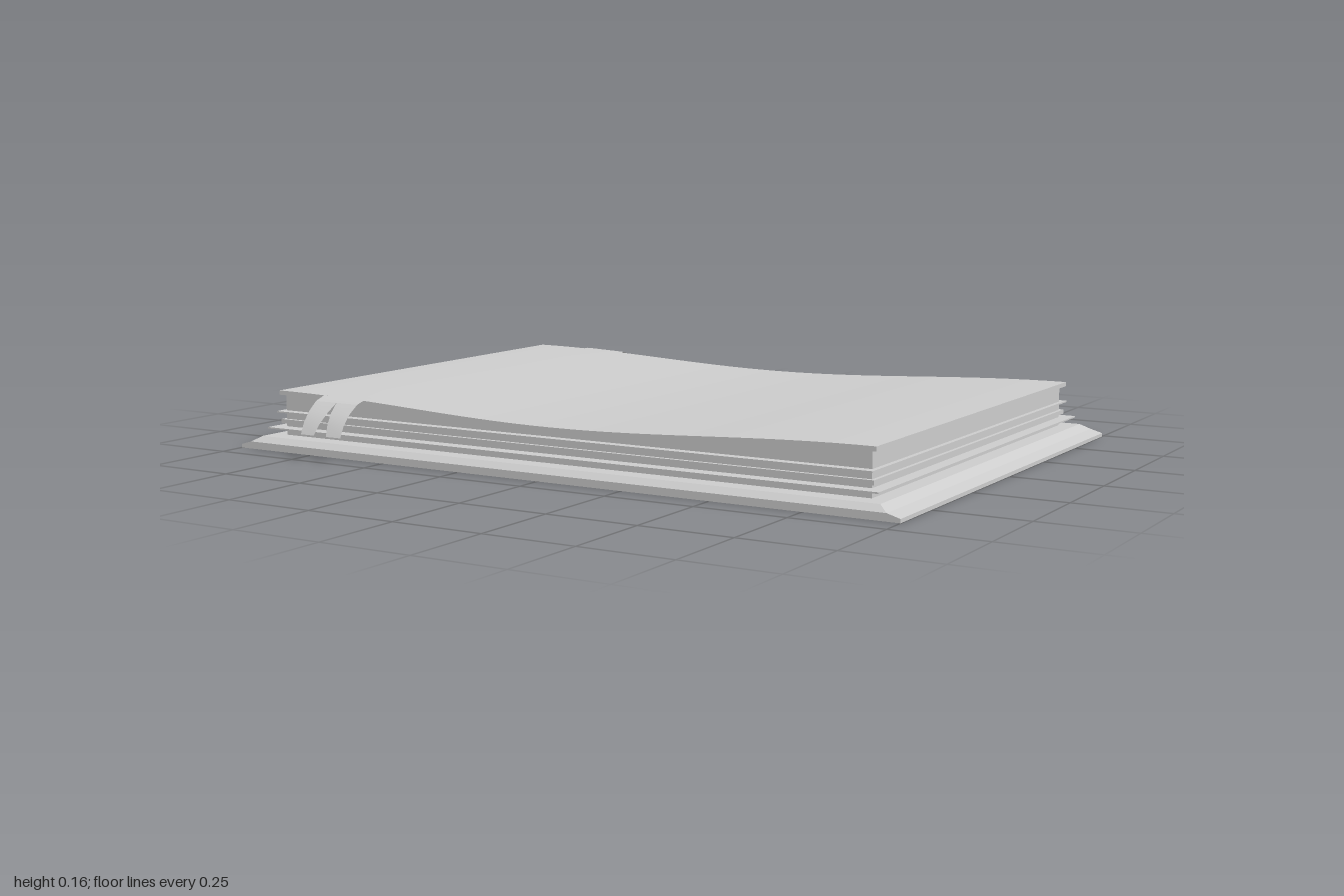
import * as THREE from 'three';

const paper = new THREE.MeshStandardMaterial({ color: 0xcccccc, side: THREE.DoubleSide });
paper.name = 'plain grey';

// Height of the gently sagging top page
const topY = (x) => 0.145 - 0.015 * Math.cos((Math.PI * Math.min(Math.abs(x), 0.9)) / 0.9);

// Quad strip through rows of points; closed rows wrap round
function loft(rows, closed = false) {
  const n = rows[0].length;
  const index = [];
  for (let r = 0; r < rows.length - 1; r++) {
    for (let i = 0; i < (closed ? n : n - 1); i++) {
      const a = r * n + i, b = r * n + ((i + 1) % n);
      index.push(a, b, b + n, a, b + n, a + n);
    }
  }
  const g = new THREE.BufferGeometry();
  g.setAttribute('position', new THREE.Float32BufferAttribute(rows.flat(2), 3));
  g.setIndex(index);
  return g;
}

export function createModel() {
  const group = new THREE.Group();
  const add = (name, geometry) => {
    const mesh = new THREE.Mesh(geometry, paper);
    mesh.name = name;
    group.add(mesh);
  };

  // Flat slab between two heights, given half width and z range
  const slab = (name, halfX, back, front, y0, y1) => {
    const g = new THREE.BoxGeometry(halfX * 2, y1 - y0, front - back);
    g.translate(0, (y0 + y1) / 2, (back + front) / 2);
    add(name, g);
  };

  // Slab whose top follows the sag; bottom(x) gives its underside
  const sagging = (name, halfX, back, front, bottom, top) => {
    const shape = new THREE.Shape();
    const n = 32;
    for (let i = 0; i <= n; i++) {
      const x = -halfX + (2 * halfX * i) / n;
      if (i) shape.lineTo(x, bottom(x));
      else shape.moveTo(x, bottom(x));
    }
    for (let i = n; i >= 0; i--) {
      const x = -halfX + (2 * halfX * i) / n;
      shape.lineTo(x, top(x));
    }
    const g = new THREE.ExtrudeGeometry(shape, { depth: front - back, bevelEnabled: false });
    g.translate(0, 0, back);
    add(name, g);
  };

  // Cover board with sloping rim: half width, back, front, height
  const rings = [
    [1, -0.735, 0.675, 0],
    [1, -0.735, 0.675, 0.01],
    [0.965, -0.735, 0.675, 0.02],
    [0.94, -0.712, 0.655, 0.035],
  ].map(([x, b, f, y]) => [[x, y, b], [-x, y, b], [-x, y, f], [x, y, f]]);
  const rim = loft(rings, true).toNonIndexed();
  rim.computeVertexNormals();
  add('coverRim', rim);
  slab('coverBottom', 1, -0.735, 0.675, 0, 0.008);
  slab('coverInside', 0.94, -0.712, 0.655, 0.025, 0.035);

  // Page block and projecting leaves
  sagging('pageBlock', 0.895, -0.658, 0.604, () => 0.03, (x) => topY(x) - 0.006);
  slab('lowerLeaf', 0.93, -0.7, 0.643, 0.055, 0.059);
  slab('middleLeaf', 0.905, -0.67, 0.615, 0.068, 0.08);
  slab('upperLeaf', 0.908, -0.686, 0.63, 0.1, 0.104);
  sagging('topPage', 0.91, -0.67, 0.615, (x) => topY(x) - 0.012, topY);

  // Ribbon bookmark: left x, right x, z, height (null rests on the page)
  const path = [
    [-0.73, -0.59, -0.69, 0.135],
    [-0.73, -0.59, -0.685, 0.152],
    [-0.73, -0.59, -0.67, null],
    [-0.727, -0.582, -0.46, null],
    [-0.715, -0.565, -0.3, null],
    [-0.71, -0.56, -0.15, null],
    [-0.73, -0.578, -0.04, null],
    [-0.755, -0.61, 0.2, null],
    [-0.765, -0.61, 0.45, null],
    [-0.755, -0.605, 0.57, null],
    [-0.747, -0.6, 0.62, 0.157],
    [-0.742, -0.598, 0.655, 0.148],
  ];
  const rows = path.map(([l, r, z, y]) =>
    [0, 0.25, 0.5, 0.75, 1].map((t) => {
      const x = l + (r - l) * t;
      return [x, y ?? topY(x) + 0.003, z];
    }));
  const ribbon = loft(rows);
  ribbon.computeVertexNormals();
  add('ribbon', ribbon);

  // Forked ribbon tails curling down over the edge
  const tails = {
    ribbonTailRight: [[-0.742, -0.67], [-0.737, -0.672], [-0.733, -0.678], [-0.73, -0.685]],
    ribbonTailLeft: [[-0.67, -0.598], [-0.66, -0.597], [-0.651, -0.595], [-0.643, -0.593]],
  };
  const drop = [[0.148, 0.655], [0.125, 0.69], [0.098, 0.716], [0.068, 0.733]];
  for (const [name, edges] of Object.entries(tails)) {
    const tail = loft(edges.map(([l, r], i) => [l, r].map((x) => [x, ...drop[i]])));
    tail.computeVertexNormals();
    add(name, tail);
  }

  return group;
}
